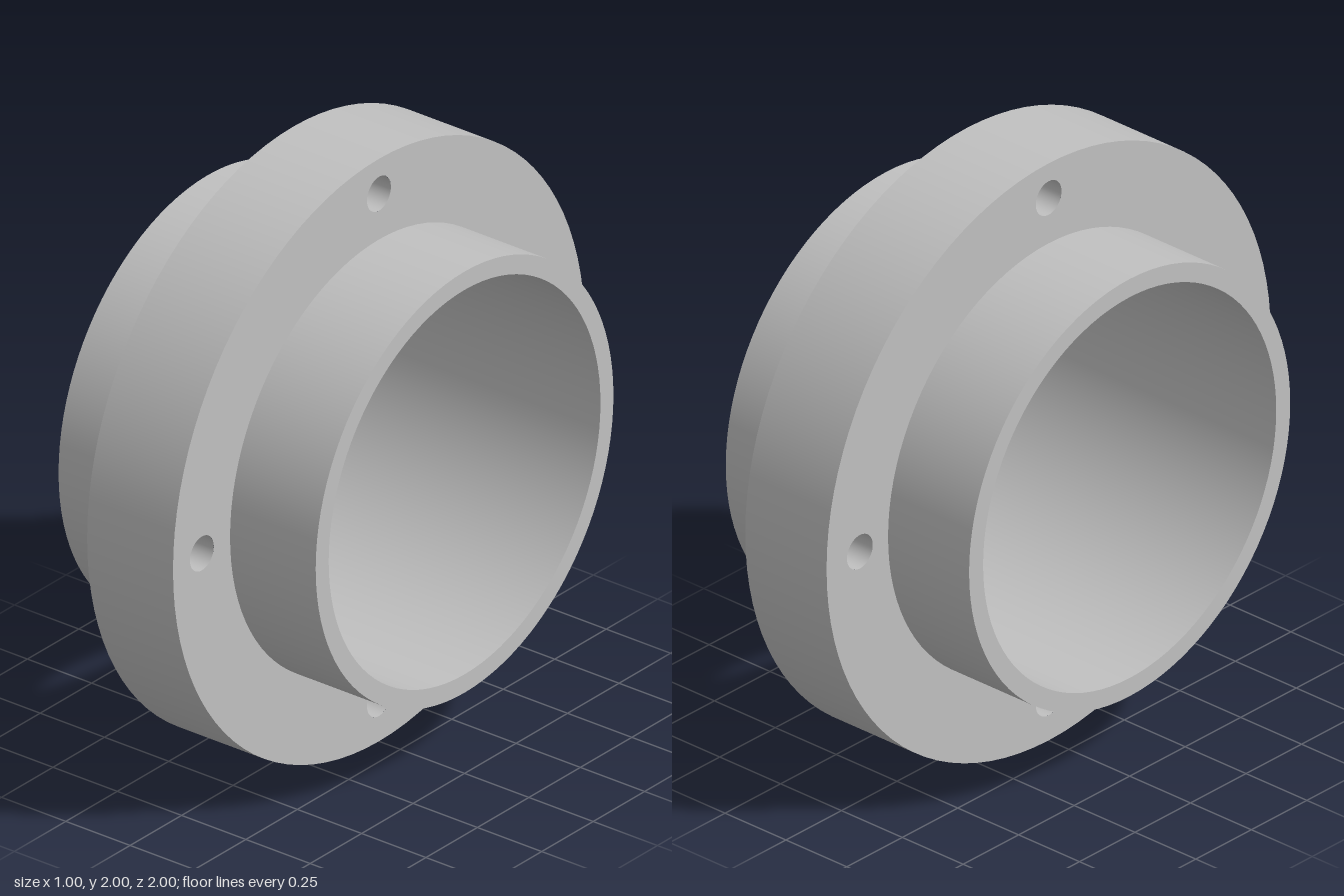
import * as THREE from 'three';
import { mergeGeometries } from 'three/addons/utils/BufferGeometryUtils.js';

const SEG = 96;
const RIM = 1, COLLAR = 0.723, BORE = 0.66, BOLT = 0.058;
const HALF_FLANGE = 0.167, HALF_LENGTH = 0.5;
// bolt hole centres as [z, y] from the axis
const HOLES = [[0, 0.88], [0, -0.855], [0.86, 0], [-0.85, 0]];

// surface of revolution about x between two (radius, x) points
function band(r0, x0, r1, x1, segments = SEG) {
  const points = [new THREE.Vector2(r0, x0), new THREE.Vector2(r1, x1)];
  return new THREE.LatheGeometry(points, segments).rotateZ(-Math.PI / 2);
}

// flat ring with bolt holes, facing +x or -x
function flangeFace(side) {
  const shape = new THREE.Shape().absarc(0, 0, RIM, 0, Math.PI * 2);
  const hole = (x, y, r) => shape.holes.push(new THREE.Path().absarc(x, y, r, 0, Math.PI * 2, true));
  hole(0, 0, COLLAR);
  for (const [z, y] of HOLES) hole(-side * z, y, BOLT);
  return new THREE.ShapeGeometry(shape, SEG / 2)
    .rotateY(side * Math.PI / 2)
    .translate(side * HALF_FLANGE, 0, 0);
}

export function createModel() {
  const group = new THREE.Group();
  const metal = new THREE.MeshStandardMaterial({ color: 0xc0c0c0 });
  metal.name = 'grey metal';

  const add = (name, ...parts) => {
    const mesh = new THREE.Mesh(mergeGeometries(parts), metal);
    mesh.name = name;
    mesh.position.y = RIM;
    group.add(mesh);
  };

  // flange disc
  add('flange', band(RIM, -HALF_FLANGE, RIM, HALF_FLANGE), flangeFace(1), flangeFace(-1));

  // collars on both sides, each with its end ring
  add('leftCollar',
    band(COLLAR, HALF_FLANGE, COLLAR, HALF_LENGTH),
    band(COLLAR, HALF_LENGTH, BORE, HALF_LENGTH));
  add('rightCollar',
    band(COLLAR, -HALF_LENGTH, COLLAR, -HALF_FLANGE),
    band(BORE, -HALF_LENGTH, COLLAR, -HALF_LENGTH));

  // inward-facing walls of the bore and the bolt holes
  add('bore', band(BORE, HALF_LENGTH, BORE, -HALF_LENGTH));
  add('boltHoles', ...HOLES.map(([z, y]) =>
    band(BOLT, HALF_FLANGE, BOLT, -HALF_FLANGE, SEG / 2).translate(0, y, z)));

  return group;
}
